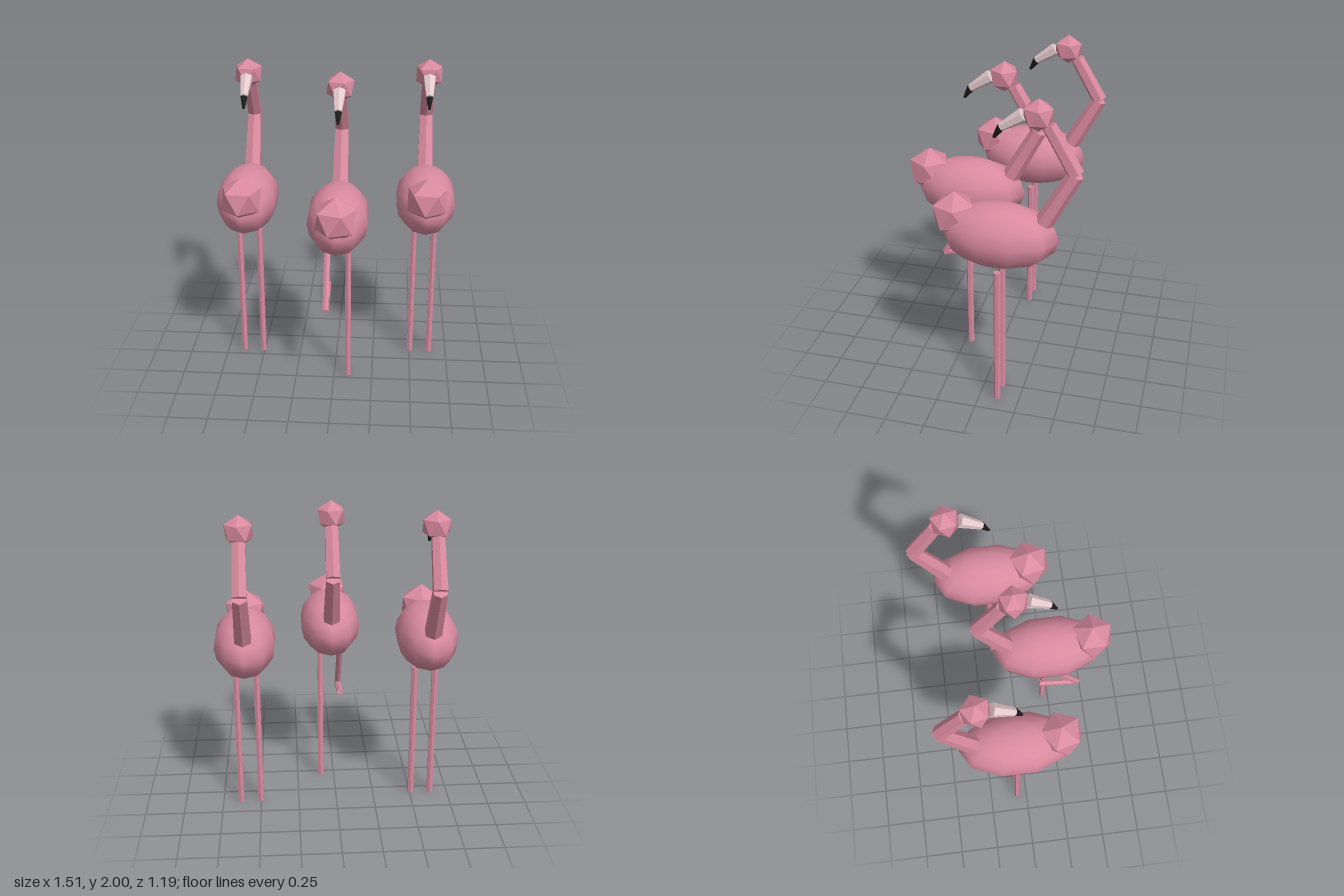
import * as THREE from 'three';

const mat = (name, color) => {
  const m = new THREE.MeshStandardMaterial({ color });
  m.name = name;
  return m;
};

export function createModel() {
  const pink = mat('feather pink', 0xd98a9f);
  const pale = mat('pale beak', 0xe8cccf);
  const black = mat('beak black', 0x1c1c1c);

  const add = (group, name, geo, material) => {
    const mesh = new THREE.Mesh(geo, material);
    mesh.name = name;
    group.add(mesh);
    return mesh;
  };

  // Faceted six-sided limb between two [x, y, z] points, r0 at a and r1 at b
  const limb = (group, name, a, b, r0, r1, material = pink) => {
    const from = new THREE.Vector3(...a);
    const dir = new THREE.Vector3(...b).sub(from);
    const geo = new THREE.CylinderGeometry(r1, r0, dir.length(), 6).toNonIndexed();
    geo.computeVertexNormals();
    const mesh = add(group, name, geo, material);
    mesh.position.copy(from).addScaledVector(dir, 0.5);
    mesh.quaternion.setFromUnitVectors(new THREE.Vector3(0, 1, 0), dir.normalize());
  };

  // Faceted ball standing on a corner
  const ball = (group, name, r, y, z, turn) => {
    const geo = new THREE.IcosahedronGeometry(r, 0);
    geo.rotateX(-Math.atan((1 + Math.sqrt(5)) / 2));
    geo.rotateY(Math.PI / 2 + turn);
    add(group, name, geo, pink).position.set(0, y, z);
  };

  const bird = (name, x, z, turn, oneLegged) => {
    const g = new THREE.Group();
    g.name = name;
    g.position.set(x, 0, z);

    // Smooth egg-shaped body, long along z
    const body = new THREE.SphereGeometry(1, 10, 8);
    body.scale(0.35, 0.2, 0.195);
    body.rotateY(Math.PI / 2);
    add(g, 'body', body, pink).position.y = 1.144;
    ball(g, 'featherTuft', 0.14, 1.25, 0.27, turn);

    // Bent neck, head and hooked beak
    limb(g, 'lowerNeck', [0, 1.26, -0.26], [0, 1.577, -0.433], 0.057, 0.047);
    limb(g, 'upperNeck', [0, 1.58, -0.433], [0, 1.85, -0.275], 0.048, 0.043);
    ball(g, 'head', 0.094, 1.906, -0.217, turn);
    limb(g, 'beak', [0, 1.9, -0.135], [0, 1.814, -0.008], 0.042, 0.024, pale);
    limb(g, 'beakTip', [0, 1.814, -0.008], [0, 1.75, 0.032], 0.024, 0.008, black);

    // Legs: straight, or the right one folded up
    limb(g, 'leftLeg', [0.065, 0, 0], [0.065, 0.925, 0], 0.021, 0.021);
    if (oneLegged) {
      limb(g, 'rightThigh', [-0.065, 0.925, 0.01], [-0.065, 0.605, 0.208], 0.021, 0.021);
      limb(g, 'rightShin', [-0.065, 0.603, 0.215], [-0.065, 0.655, -0.053], 0.021, 0.021);
    } else {
      limb(g, 'rightLeg', [-0.065, 0, 0], [-0.065, 0.925, 0], 0.021, 0.021);
    }
    return g;
  };

  const model = new THREE.Group();
  model.name = 'wadingBirds';
  model.add(
    bird('rightBird', -0.572, -0.064, 0.25, false),
    bird('middleBird', 0.025, 0.21, 0, true),
    bird('leftBird', 0.568, -0.114, 0.2, false),
  );
  return model;
}
